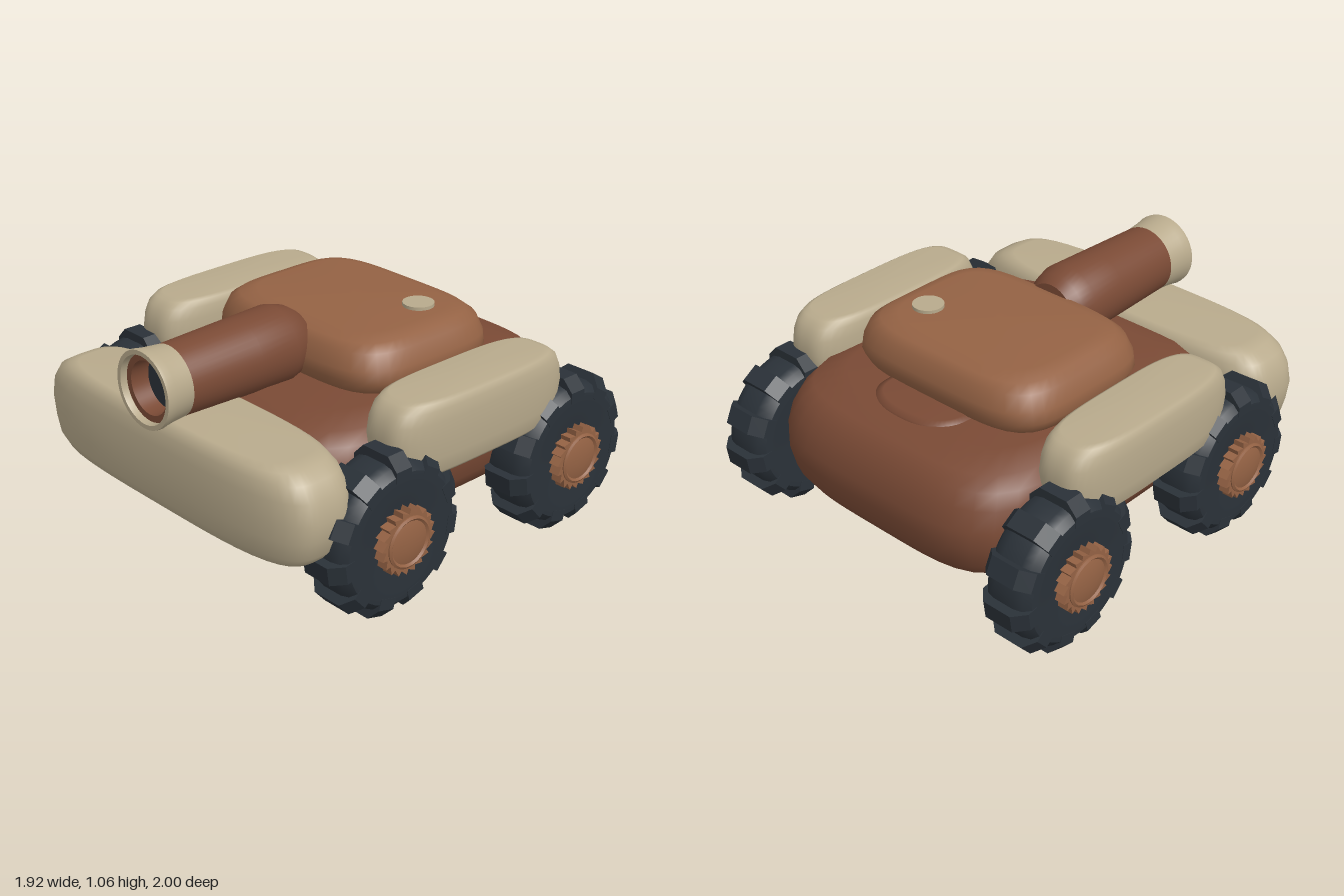
import * as THREE from 'three';
import { toCreasedNormals } from 'three/addons/utils/BufferGeometryUtils.js';

const paint = (color) => new THREE.MeshStandardMaterial({ color });
const BROWN = paint(0x7a4a35), COPPER = paint(0x946244), TAN = paint(0xb8aa8c), DARK = paint(0x2a3138);

function part(name, geometry, material, x = 0, y = 0, z = 0) {
  const mesh = new THREE.Mesh(geometry, material);
  mesh.name = name;
  mesh.position.set(x, y, z);
  return mesh;
}

// Soft armour block: superellipse loops stacked upwards, levels are [y, halfX, halfZ]
function pillow(levels, power, segments = 64) {
  const positions = [], index = [];
  for (const [y, hx, hz] of levels) {
    for (let i = 0; i < segments; i++) {
      const t = (i / segments) * Math.PI * 2, c = Math.cos(t), s = Math.sin(t);
      const r = (Math.abs(c) ** power + Math.abs(s) ** power) ** (-1 / power);
      positions.push(c * r * hx, y, s * r * hz);
    }
  }
  const last = levels.length - 1, bottom = levels.length * segments, top = bottom + 1;
  positions.push(0, levels[0][0], 0, 0, levels[last][0], 0);
  for (let i = 0; i < segments; i++) {
    const n = (i + 1) % segments;
    for (let j = 0; j < last; j++) {
      const a = j * segments + i, b = j * segments + n;
      index.push(a, a + segments, b, b, a + segments, b + segments);
    }
    index.push(bottom, i, n, top, last * segments + n, last * segments + i);
  }
  const g = new THREE.BufferGeometry();
  g.setAttribute('position', new THREE.Float32BufferAttribute(positions, 3));
  g.setIndex(index);
  g.computeVertexNormals();
  return g;
}

// Turned part from [radius, along-axis] points
function turned(points, segments = 40) {
  const g = new THREE.LatheGeometry(points.map(([r, y]) => new THREE.Vector2(r, y)), segments);
  return toCreasedNormals(g, 0.6);
}

// One wheel with its axle along x, outer side towards +x
function wheel(name) {
  const group = new THREE.Group();
  group.name = name;
  const tire = turned([[0.05, -0.1], [0.15, -0.105], [0.25, -0.12], [0.29, -0.117], [0.318, -0.09], [0.328, -0.05],
    [0.328, 0.05], [0.318, 0.09], [0.29, 0.117], [0.25, 0.12], [0.15, 0.105], [0.05, 0.1]], 48);
  group.add(part('tire', tire.rotateZ(-Math.PI / 2), DARK));

  // Tread lugs
  const outline = [[-0.121, 0.26], [0.121, 0.26], [0.121, 0.31], [0.07, 0.364], [-0.07, 0.364], [-0.121, 0.31]];
  const lugShape = new THREE.Shape(outline.map(([x, y]) => new THREE.Vector2(x, y)));
  const lug = new THREE.ExtrudeGeometry(lugShape, { depth: 0.085, bevelEnabled: false });
  lug.translate(0, 0, -0.0425);
  for (let i = 0; i < 11; i++) {
    const m = part('treadLug', lug, DARK);
    m.rotation.x = (i / 11) * Math.PI * 2;
    group.add(m);
  }

  // Saw-toothed hub right through the tire, with a domed cap
  const teeth = [];
  for (let i = 0; i < 20; i++) {
    const a = (i / 20) * Math.PI * 2;
    teeth.push(new THREE.Vector2(0.125 * Math.cos(a), 0.125 * Math.sin(a)));
    teeth.push(new THREE.Vector2(0.148 * Math.cos(a + 0.26), 0.148 * Math.sin(a + 0.26)));
  }
  const gear = new THREE.ExtrudeGeometry(new THREE.Shape(teeth), { depth: 0.315, bevelEnabled: false });
  group.add(part('hubGear', gear.translate(0, 0, -0.16).rotateY(Math.PI / 2), COPPER));
  const cap = turned([[0.115, 0.14], [0.115, 0.16], [0.105, 0.166], [0.095, 0.158], [0.075, 0.164], [0.04, 0.169], [0, 0.171]]);
  group.add(part('hubCap', cap.rotateZ(-Math.PI / 2), COPPER));
  return group;
}

export function createModel() {
  const model = new THREE.Group();
  model.name = 'armouredVehicle';

  // Hull
  model.add(part('hull', pillow([[0.245, 0.6, 0.68], [0.28, 0.66, 0.765], [0.35, 0.7, 0.81], [0.45, 0.72, 0.83],
    [0.53, 0.72, 0.828], [0.62, 0.705, 0.8], [0.68, 0.68, 0.76], [0.73, 0.64, 0.71], [0.765, 0.54, 0.57]], 4.5), BROWN, 0, 0, -0.12));
  model.add(part('rearDeckPlate', pillow([[0.72, 0.25, 0.19], [0.765, 0.24, 0.18], [0.775, 0.21, 0.15]], 2.5), BROWN, 0.02, 0, -0.545));

  // Front bumper
  model.add(part('frontBumper', pillow([[0.34, 0.74, 0.17], [0.355, 0.79, 0.195], [0.4, 0.83, 0.212], [0.48, 0.85, 0.22], [0.56, 0.86, 0.222],
    [0.65, 0.84, 0.22], [0.71, 0.8, 0.21], [0.745, 0.74, 0.195], [0.762, 0.68, 0.17]], 3.7), TAN, 0, 0, 0.762));

  // Side fenders
  const fender = pillow([[0.55, 0.13, 0.45], [0.57, 0.147, 0.475], [0.64, 0.158, 0.495], [0.73, 0.16, 0.51],
    [0.8, 0.159, 0.498], [0.85, 0.152, 0.475], [0.877, 0.14, 0.44], [0.886, 0.125, 0.405]], 3.6);
  for (const [side, s] of [['left', 1], ['right', -1]]) {
    model.add(part(side + 'Fender', fender, TAN, s * 0.74, 0, -0.11));
    for (const [end, z] of [['Front', 0.425], ['Rear', -0.635]]) {
      const w = wheel(side + end + 'Wheel');
      w.position.set(s * 0.79, 0.365, z);
      if (s < 0) w.rotation.y = Math.PI;
      model.add(w);
    }
  }

  // Turret and hatch
  model.add(part('turret', pillow([[0.74, 0.48, 0.36], [0.77, 0.52, 0.4], [0.82, 0.543, 0.423], [0.87, 0.535, 0.42],
    [0.94, 0.505, 0.395], [0.97, 0.465, 0.36], [0.99, 0.4, 0.295]], 4.5), COPPER, 0, 0, -0.15));
  model.add(part('hatch', toCreasedNormals(new THREE.CylinderGeometry(0.07, 0.07, 0.04, 32), 0.6), TAN, 0.29, 0.985, -0.275));

  // Gun: hollow barrel, muzzle ring and dark bore
  const gun = new THREE.Group();
  gun.name = 'gun';
  gun.rotation.x = Math.PI / 2;
  gun.position.y = 0.887;
  gun.add(part('barrel', turned([[0, 0.19], [0.125, 0.195], [0.155, 0.24], [0.174, 0.31], [0.168, 0.5], [0.156, 0.86],
    [0.147, 0.97], [0.117, 0.97], [0.113, 0.8]]), BROWN));
  gun.add(part('muzzleRing', turned([[0.15, 0.86], [0.156, 0.86], [0.165, 0.95], [0.172, 0.985], [0.17, 1],
    [0.15, 1], [0.146, 0.985], [0.146, 0.95]]), TAN));
  gun.add(part('bore', new THREE.CylinderGeometry(0.116, 0.116, 0.03, 32), DARK, 0, 0.87, 0));
  model.add(gun);
  return model;
}
